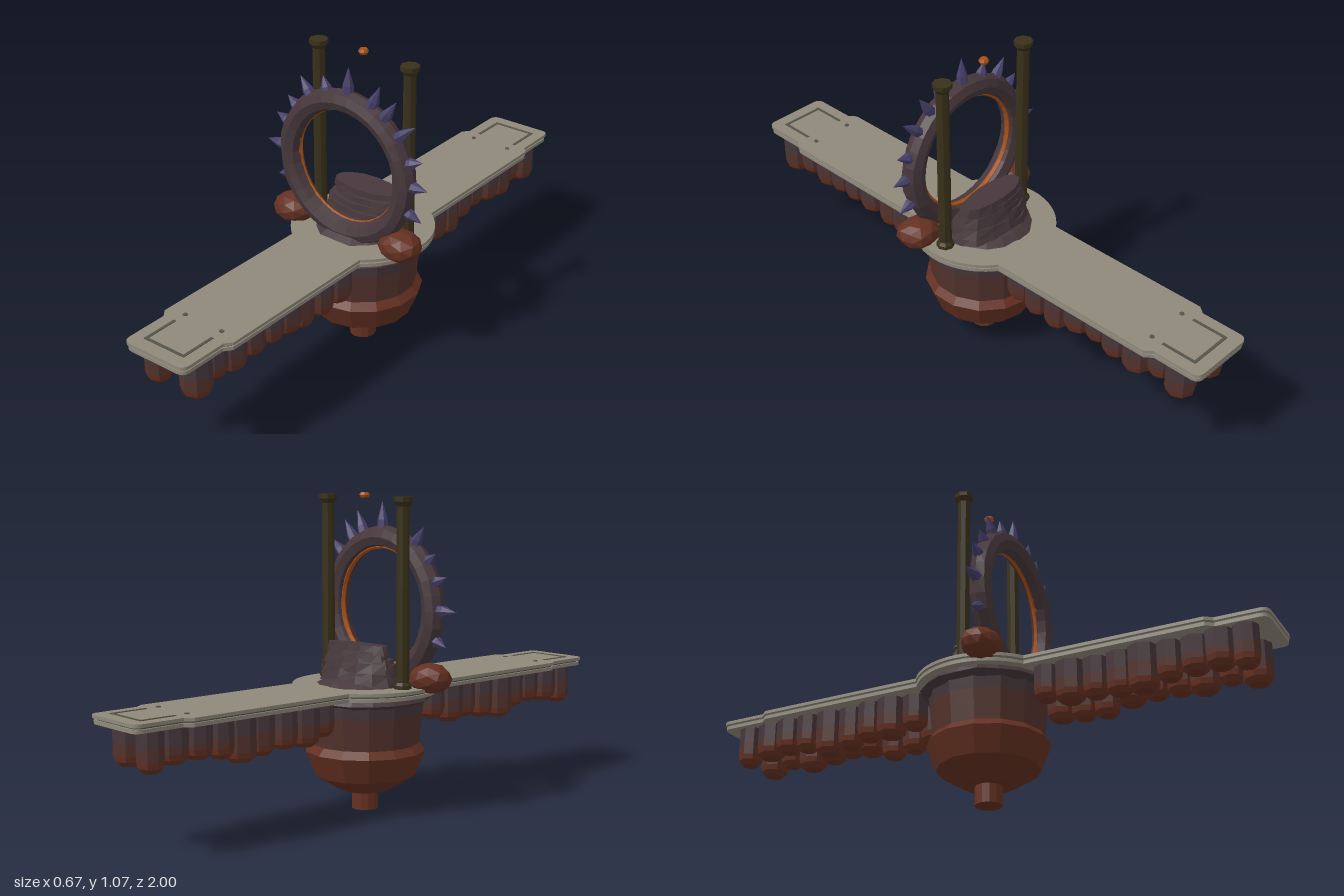
import * as THREE from 'three';

const mat = (name, color) => {
  const m = new THREE.MeshStandardMaterial({ color });
  m.name = name;
  return m;
};

// Splits all faces so that each is shaded flat
function flat(geo) {
  const g = geo.index ? geo.toNonIndexed() : geo;
  g.computeVertexNormals();
  return g;
}

// Moves vertices by a smooth position-based wobble for rough rock
function roughen(geo, amount, seed) {
  const p = geo.attributes.position;
  for (let i = 0; i < p.count; i++) {
    const x = p.getX(i), y = p.getY(i), z = p.getZ(i);
    const k = 1 + amount * Math.sin(x * 43 + seed) * Math.cos(z * 37 + y * 29 + seed * 2);
    p.setXYZ(i, x * k, y, z * k);
  }
  return geo;
}

export function createModel() {
  const stone = mat('stone', 0x8f897b);
  const darkStone = mat('dark stone', 0x55544a);
  const plum = mat('plum rock', 0x46373b);
  const umber = mat('umber rock', 0x52322c);
  const rust = mat('rust rock', 0x643021);
  const violet = mat('violet horn', 0x48406a);
  const bronze = mat('dark bronze', 0x383019);
  const ember = mat('ember', 0xa85015);

  const model = new THREE.Group();
  const add = (name, geo, material, x = 0, y = 0, z = 0, parent = model) => {
    const mesh = new THREE.Mesh(flat(geo), material);
    mesh.name = name;
    mesh.position.set(x, y, z);
    parent.add(mesh);
    return mesh;
  };
  const lathe = (pts, sides) =>
    new THREE.LatheGeometry(pts.map(([r, y]) => new THREE.Vector2(r, y)), sides);

  // Long deck with stepped, rounded ends and a round middle, in three layers
  const deckLayer = (name, inset, y, h, material) => {
    const w = 0.143 - inset, e = 0.123 - inset, l = 1 - inset, r = 0.245 - inset, c = 0.03;
    const a = Math.acos(w / r);
    const s = new THREE.Shape();
    s.moveTo(w, Math.sin(a) * r);
    for (const q of [1, -1]) {
      s.lineTo(q * w, q * 0.805);
      s.lineTo(q * e, q * 0.83);
      s.lineTo(q * e, q * (l - c));
      s.quadraticCurveTo(q * e, q * l, q * (e - c), q * l);
      s.lineTo(-q * (e - c), q * l);
      s.quadraticCurveTo(-q * e, q * l, -q * e, q * (l - c));
      s.lineTo(-q * e, q * 0.83);
      s.lineTo(-q * w, q * 0.805);
      s.lineTo(-q * w, q * Math.sin(a) * r);
      const from = q > 0 ? Math.PI - a : -a;
      s.absarc(0, 0, r, from, from + 2 * a, false);
    }
    const g = new THREE.ExtrudeGeometry(s, { depth: h, bevelEnabled: false, curveSegments: 12 });
    add(name, g.rotateX(-Math.PI / 2), material, 0.003, y, 0);
  };
  deckLayer('deckTop', 0, 0.422, 0.011, stone);
  deckLayer('deckGroove', 0.01, 0.415, 0.008, darkStone);
  deckLayer('deckBase', 0.003, 0.404, 0.012, stone);

  // Inlaid frames and studs near both deck ends
  for (const q of [1, -1]) {
    for (const sx of [1, -1]) {
      add('inlaySide', new THREE.BoxGeometry(0.01, 0.003, 0.125), darkStone, 0.003 + sx * 0.077, 0.4335, q * 0.89);
      add('stud', new THREE.CylinderGeometry(0.008, 0.008, 0.005, 8), darkStone, 0.003 + sx * 0.075, 0.4335, q * 0.785);
    }
    add('inlayEnd', new THREE.BoxGeometry(0.164, 0.003, 0.01), darkStone, 0.003, 0.4335, q * 0.95);
  }

  // Hanging bowl in darkening bands, with its collar and stem
  const bowl = [
    ['bowlRim', plum, [[0.195, 0.335], [0.2, 0.375], [0.2, 0.405]]],
    ['bowlWall', umber, [[0.185, 0.23], [0.195, 0.335]]],
    ['bowlBase', rust, [[0, 0.062], [0.08, 0.066], [0.1, 0.075], [0.172, 0.12], [0.206, 0.205], [0.185, 0.23]]],
  ];
  for (const [name, m, pts] of bowl) add(name, lathe(pts, 14), m, 0.003);
  add('collar', roughen(lathe([[0.19, 0.37], [0.222, 0.386], [0.21, 0.405]], 20), 0.03, 1), plum);
  add('stem', new THREE.CylinderGeometry(0.046, 0.046, 0.08, 12), rust, 0.003, 0.04, 0);

  // Two rows of rounded stalactites under each arm
  const bottoms = [0.27, 0.26, 0.25, 0.275, 0.285, 0.28, 0.265, 0.285, 0.265];
  for (const q of [1, -1]) for (const sx of [1, -1]) for (let i = 0; i < 9; i++) {
    const b = bottoms[sx > 0 ? i : (i + 7) % 9], r = 0.048 + 0.005 * Math.sin(i * 2.3 + sx);
    const x = 0.003 + sx * (0.065 + 0.008 * Math.sin(i * 1.7 + q));
    const z = q * (0.235 + i * 0.083 + (sx > 0 ? 0 : 0.012));
    const pod = new THREE.Group();
    pod.name = 'stalactite';
    pod.position.set(x, 0, z);
    model.add(pod);
    add('podTop', lathe([[r, 0.345], [r, 0.405]], 8), plum, 0, 0, 0, pod);
    add('podMiddle', lathe([[r, b + 0.04], [r, 0.345]], 8), umber, 0, 0, 0, pod);
    add('podTip', lathe([[0, b], [r * 0.6, b + 0.006], [r * 0.92, b + 0.022], [r, b + 0.04]], 8), rust, 0, 0, 0, pod);
  }

  // Upright ring with a glowing lining
  const cx = 0.005, cy = 0.685, cz = 0.09;
  const ring = new THREE.TorusGeometry(0.235, 0.038, 8, 30);
  add('ring', roughen(ring, 0.012, 3), plum, cx, cy, cz);
  add('ringLining', new THREE.TorusGeometry(0.205, 0.011, 6, 40), ember, cx, cy, cz - 0.006);

  // Horns pointing out from the ring
  const tips = [[0.31, 0.575], [0.33, 0.695], [0.31, 0.79], [0.28, 0.905], [0.205, 0.97], [0.14, 1.005],
    [0.015, 1.04], [-0.09, 0.985], [-0.185, 0.96], [-0.24, 0.875], [-0.29, 0.8], [-0.335, 0.69], [-0.29, 0.57]];
  for (const [x, y] of tips) {
    const angle = Math.atan2(y - cy, x - cx), len = Math.hypot(x - cx, y - cy) - 0.25;
    const g = lathe([[0.021, 0], [0.018, len * 0.4], [0, len]], 6);
    const horn = add('horn', g, violet, cx + Math.cos(angle) * 0.25, cy + Math.sin(angle) * 0.25, cz);
    horn.rotation.z = angle - Math.PI / 2;
  }

  // Boulders at the foot of the ring
  for (const sx of [1, -1]) {
    const g = roughen(new THREE.IcosahedronGeometry(1, 1).scale(0.078, 0.052, 0.068), 0.08, sx + 4);
    add('boulder', g, rust, 0.003 + sx * 0.224, 0.463, 0.088);
  }

  // Low mound with stacked slabs rising behind the ring
  add('mound', roughen(lathe([[0.172, 0.425], [0.13, 0.45], [0.06, 0.48], [0, 0.492]], 16), 0.05, 2), plum, 0, 0, -0.003);
  for (let i = 0; i < 6; i++) {
    const g = new THREE.CylinderGeometry(0.93, 1, 0.032, 14);
    g.scale(0.165 - i * 0.005, 1, 0.105 - i * 0.01);
    const slab = add('slab', roughen(g, 0.05, i * 1.9), plum, 0.004 * Math.sin(i * 2), 0.45 + i * 0.0205, -0.02 - i * 0.003);
    slab.rotation.set(0.07, 0.06 * Math.sin(i * 3), 0.025 * Math.sin(i * 2.4));
  }

  // Two tall posts with flared caps
  for (const sx of [1, -1]) {
    const g = lathe([[0, 0.42], [0.03, 0.42], [0.03, 0.445], [0.022, 0.455], [0.021, 1.03],
      [0.032, 1.045], [0.032, 1.06], [0, 1.06]], 8);
    add('post', g, bronze, 0.005 + sx * 0.185, 0, 0);
  }

  // Small ember floating over the middle
  add('floatingEmber', lathe([[0, -0.009], [0.013, -0.009], [0.018, 0], [0.013, 0.009], [0, 0.009]], 8), ember, 0.005, 1.062, 0);
  return model;
}
